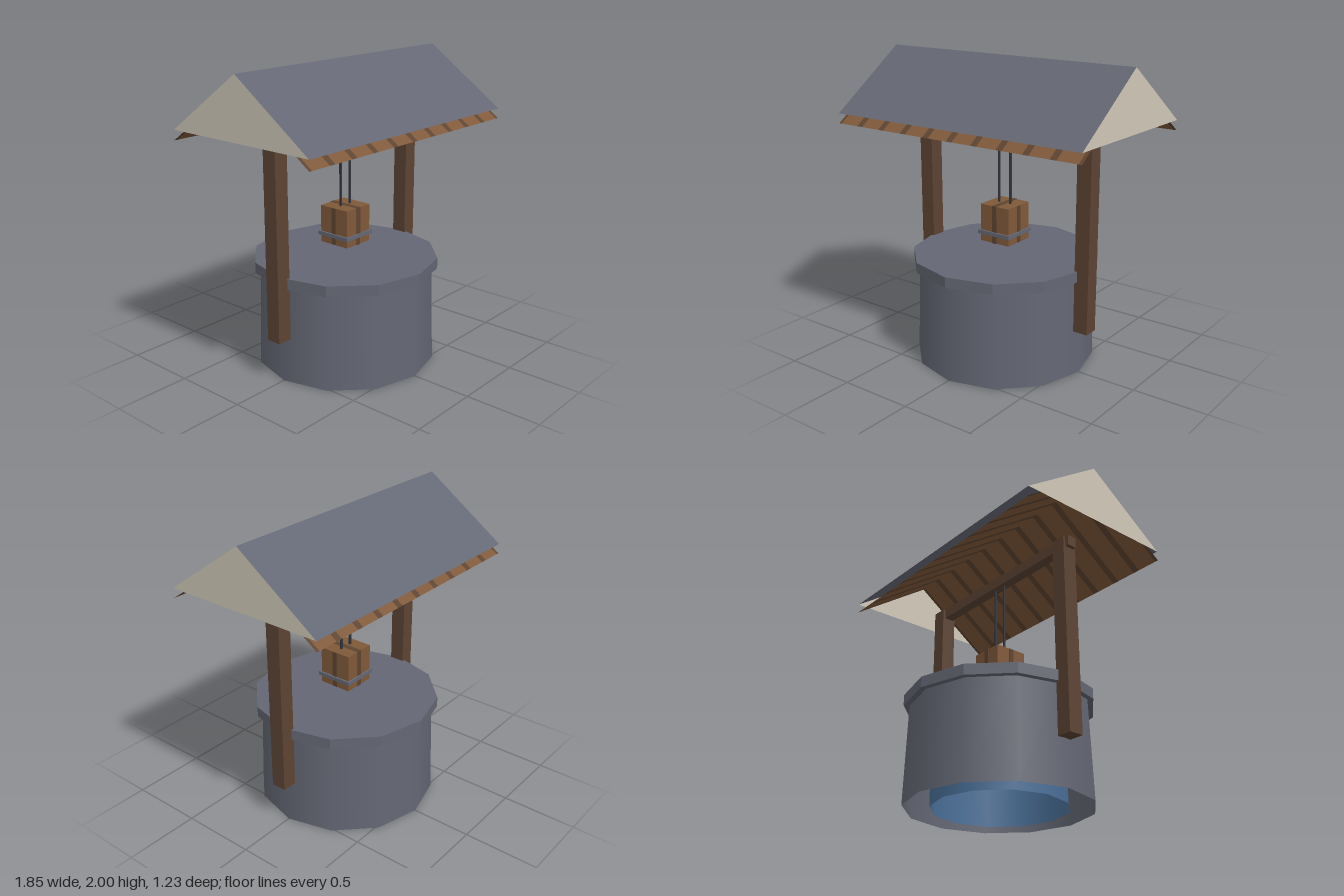
import * as THREE from 'three';

const material = (name, color, doubleSided = false) => {
  const m = new THREE.MeshStandardMaterial({ color });
  m.name = name;
  if (doubleSided) m.side = THREE.DoubleSide;
  return m;
};

export function createModel() {
  const stone = material('greyStone', 0x646774, true);
  const plaster = material('creamPlaster', 0xd0c8b8, true);
  const darkWood = material('darkWood', 0x5c4333);
  const plankWood = material('plankWood', 0x80593a, true);
  const gapWood = material('plankGapWood', 0x5e4431, true);
  const lining = material('blueLining', 0x4a6f98, true);
  const rope = material('darkRope', 0x34363e);

  const model = new THREE.Group();
  model.name = 'well';

  const add = (name, geometry, mat, x = 0, y = 0, z = 0, parent = model) => {
    const mesh = new THREE.Mesh(geometry, mat);
    mesh.name = name;
    mesh.position.set(x, y, z);
    parent.add(mesh);
    return mesh;
  };
  const box = (w, h, d) => new THREE.BoxGeometry(w, h, d);

  // flat polygon from corners in counter-clockwise order
  const polygon = (...points) => {
    const g = new THREE.BufferGeometry();
    g.setAttribute('position', new THREE.Float32BufferAttribute(points.flat(), 3));
    g.setIndex(points.length === 4 ? [0, 1, 2, 0, 2, 3] : [0, 1, 2]);
    g.computeVertexNormals();
    return g;
  };

  // Twelve-sided well: tapered outer wall, open inner lining and faceted lid
  add('wellWall', new THREE.CylinderGeometry(0.575, 0.597, 0.66, 12, 1, true), stone, 0, 0.33);
  add('innerLining', new THREE.CylinderGeometry(0.43, 0.43, 0.41, 12, 1, true), lining, 0, 0.205);
  const lid = new THREE.CylinderGeometry(0.613, 0.613, 0.07, 12).toNonIndexed();
  lid.computeVertexNormals();
  add('wellLid', lid, stone, 0, 0.675);

  // Timber frame
  for (const side of [-1, 1]) add('post', box(0.1, 1.3, 0.1), darkWood, side * 0.63, 0.95);
  add('crossbeam', box(1.41, 0.07, 0.066), darkWood, 0, 1.57);

  // Roof: two slopes, plank lining below them, and gable ends
  const roof = new THREE.Group();
  roof.name = 'roof';
  model.add(roof);
  const halfLength = 0.925, halfDepth = 0.555, ridge = 2, eave = 1.61, drop = 0.065;
  const slope = (x0, x1, side, lower) => {
    const z = side * halfDepth;
    const a = [x0, eave - lower, z], b = [x1, eave - lower, z];
    const c = [x1, ridge - lower, 0], d = [x0, ridge - lower, 0];
    return side > 0 ? polygon(a, b, c, d) : polygon(b, a, d, c);
  };
  const plankCount = 10, pitch = (2 * halfLength) / plankCount, gap = 0.022;
  for (const side of [-1, 1]) {
    add('roofSlope', slope(-halfLength, halfLength, side, 0), stone, 0, 0, 0, roof);
    for (let i = 0; i < plankCount; i++) {
      const x0 = -halfLength + i * pitch, x1 = x0 + pitch;
      add('roofPlank', slope(x0 + gap, x1 - gap, side, drop), plankWood, 0, 0, 0, roof);
      add('plankGap', slope(x0, x0 + gap, side, drop), gapWood, 0, 0, 0, roof);
      add('plankGap', slope(x1 - gap, x1, side, drop), gapWood, 0, 0, 0, roof);
    }
    const x = side * halfLength;
    add('gable', polygon([x, eave, side * halfDepth], [x, eave, -side * halfDepth], [x, ridge, 0]),
      plaster, 0, 0, 0, roof);
  }

  // Hanging bucket with centre strips, metal band and two ropes
  const bucket = new THREE.Group();
  bucket.name = 'bucket';
  bucket.position.y = 0.915;
  model.add(bucket);
  add('bucketBody', box(0.224, 0.25, 0.224), plankWood, 0, 0, 0, bucket);
  add('bucketStripFrontBack', box(0.034, 0.254, 0.23), gapWood, 0, 0, 0, bucket);
  add('bucketStripSides', box(0.23, 0.248, 0.034), gapWood, 0, 0, 0, bucket);
  add('bucketBand', box(0.25, 0.025, 0.25), stone, 0, -0.063, 0, bucket);
  for (const side of [-1, 1]) add('rope', box(0.013, 0.5, 0.013), rope, side * 0.045, 1.285);

  return model;
}
